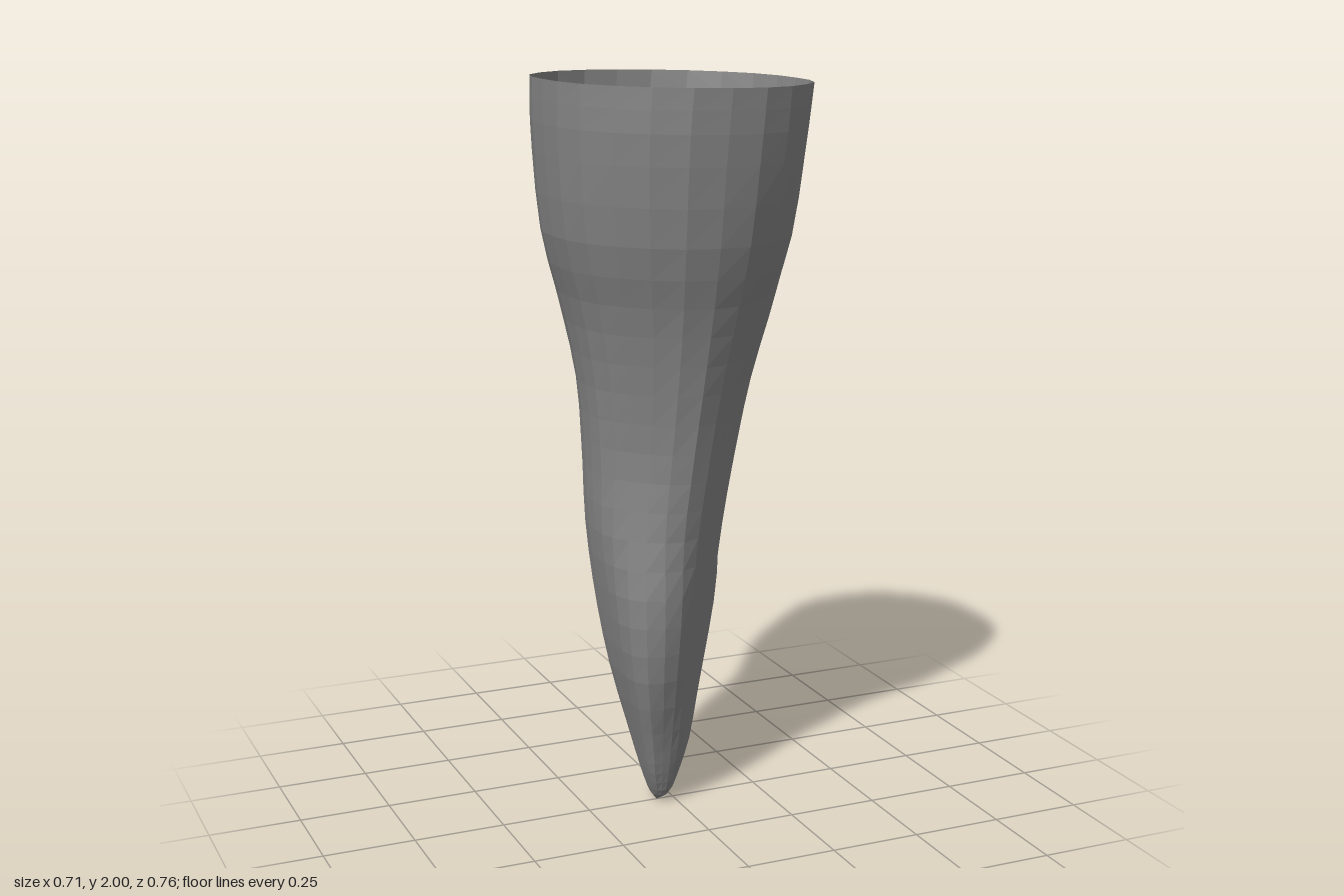
import * as THREE from 'three';

// Cross-sections: height, then the reach of the outline in eight directions,
// every 45 degrees from +x towards +z.
const SECTIONS = [
  [0.03, -0.012, 0.005, 0.038, 0.062, 0.068, 0.06, 0.045, 0.01],
  [0.1, 0.025, 0.028, 0.063, 0.105, 0.09, 0.088, 0.098, 0.04],
  [0.2, 0.06, 0.05, 0.09, 0.145, 0.115, 0.12, 0.125, 0.065],
  [0.4, 0.105, 0.075, 0.155, 0.205, 0.165, 0.18, 0.145, 0.12],
  [0.6, 0.145, 0.1, 0.185, 0.225, 0.197, 0.225, 0.17, 0.16],
  [0.8, 0.155, 0.125, 0.187, 0.208, 0.22, 0.245, 0.2, 0.17],
  [1.0, 0.19, 0.155, 0.21, 0.2, 0.227, 0.255, 0.22, 0.187],
  [1.2, 0.235, 0.19, 0.24, 0.225, 0.242, 0.27, 0.26, 0.23],
  [1.4, 0.29, 0.245, 0.28, 0.27, 0.277, 0.32, 0.305, 0.285],
  [1.6, 0.322, 0.31, 0.335, 0.335, 0.332, 0.36, 0.352, 0.335],
  [1.85, 0.335, 0.355, 0.372, 0.375, 0.354, 0.38, 0.378, 0.367],
  [2.0, 0.358, 0.368, 0.382, 0.382, 0.357, 0.38, 0.38, 0.382],
];
const TIP = new THREE.Vector3(-0.048, 0, 0);
const SIDES = 24;
const ROWS = 30;
const SHARPNESS = 10;

// Point of a rounded eight-sided outline at the given angle
function outlinePoint([y, ...reach], angle) {
  const dirs = reach.map((_, i) => (i * Math.PI) / 4);
  const cx = dirs.reduce((s, a, i) => s + reach[i] * Math.cos(a), 0) / 4;
  const cz = dirs.reduce((s, a, i) => s + reach[i] * Math.sin(a), 0) / 4;
  let sum = 0;
  dirs.forEach((a, i) => {
    const h = reach[i] - cx * Math.cos(a) - cz * Math.sin(a);
    sum += (Math.max(0, Math.cos(angle - a)) / h) ** SHARPNESS;
  });
  const r = sum ** (-1 / SHARPNESS);
  const x = cx + r * Math.cos(angle);
  // the rim dips slightly towards +x
  return new THREE.Vector3(x, y * (1 - 0.011 * (x + 0.355)), cz + r * Math.sin(angle));
}

// Skin of the sleeve: one smooth curve per side, from tip to rim
function sleeveGeometry() {
  const positions = [];
  const index = [];
  for (let s = 0; s < SIDES; s++) {
    const angle = (s / SIDES) * Math.PI * 2;
    const points = [TIP, ...SECTIONS.map((section) => outlinePoint(section, angle))];
    const curve = new THREE.CatmullRomCurve3(points, false, 'catmullrom', 0.5);
    for (let r = 0; r <= ROWS; r++) positions.push(...curve.getPoint(r / ROWS).toArray());
  }
  const at = (s, r) => (s % SIDES) * (ROWS + 1) + r;
  for (let s = 0; s < SIDES; s++) {
    for (let r = 0; r < ROWS; r++) {
      const a = at(s, r), b = at(s + 1, r), c = at(s + 1, r + 1), d = at(s, r + 1);
      if (r > 0) index.push(a, d, b);
      index.push(b, d, c);
    }
  }
  const geometry = new THREE.BufferGeometry();
  geometry.setAttribute('position', new THREE.Float32BufferAttribute(positions, 3));
  geometry.setIndex(index);
  geometry.computeVertexNormals();
  return geometry;
}

export function createModel() {
  const group = new THREE.Group();
  group.name = 'taperedSleeve';
  const material = new THREE.MeshStandardMaterial({
    color: 0x868686,
    flatShading: true,
    side: THREE.DoubleSide,
  });
  const sleeve = new THREE.Mesh(sleeveGeometry(), material);
  sleeve.name = 'openSleeve';
  group.add(sleeve);
  return group;
}
